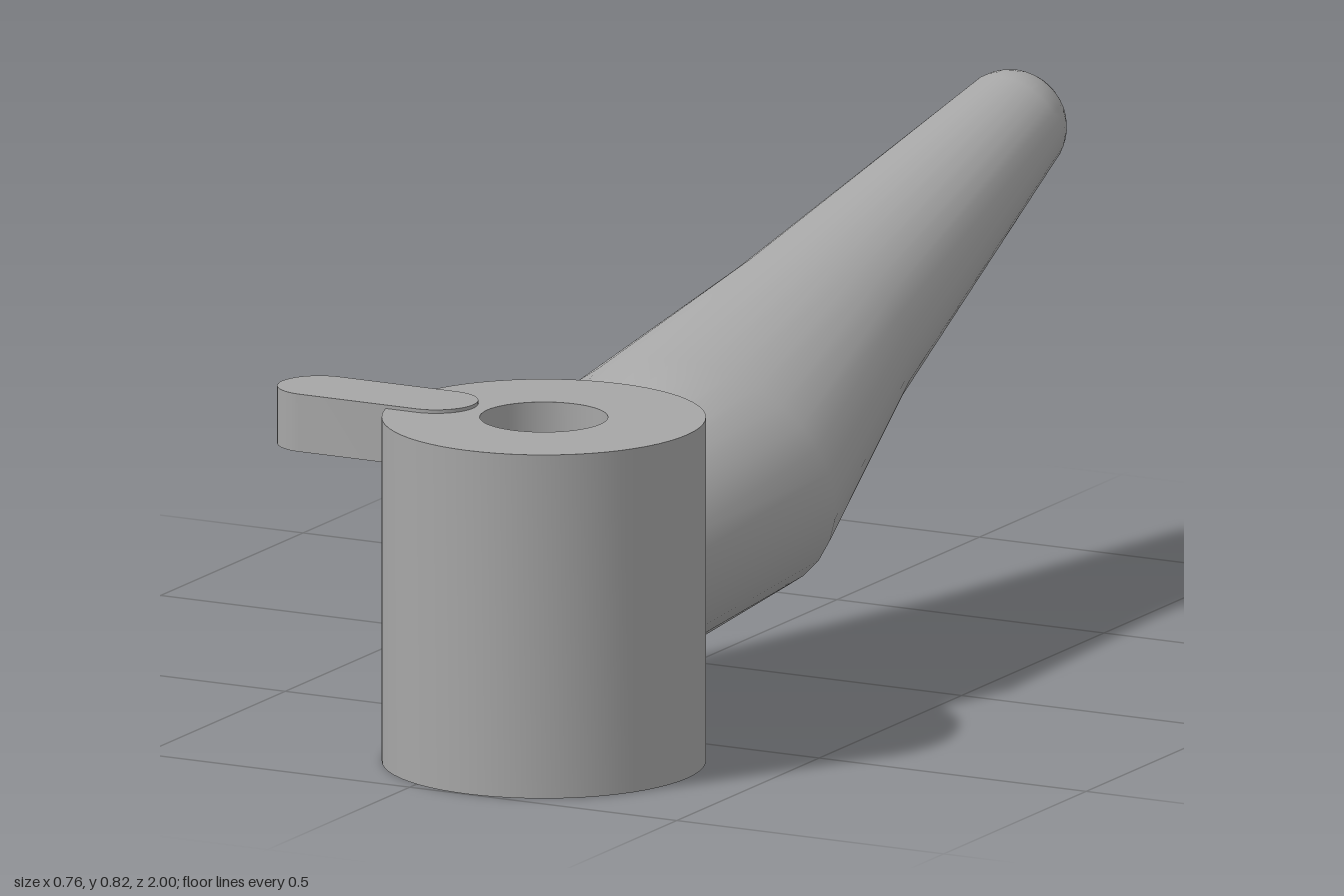
import * as THREE from 'three';
import { toCreasedNormals } from 'three/addons/utils/BufferGeometryUtils.js';

const HUB_X = 0.107, HUB_Z = 0.73;

// Extrude a plan outline (x, -z) upward from y0 by the given height
function extrudeUp(shape, y0, height) {
  const geo = new THREE.ExtrudeGeometry(shape, { depth: height, bevelEnabled: false, curveSegments: 32 });
  geo.rotateX(-Math.PI / 2);
  geo.translate(0, y0, 0);
  return toCreasedNormals(geo, 0.6);
}

// Skin elliptical rings { y, z, rx, ry, tilt } and close both ends
function loftHandle(rings, sides) {
  const pos = [], index = [];
  for (const { y, z, rx, ry, tilt } of rings) {
    for (let i = 0; i < sides; i++) {
      const a = (i / sides) * Math.PI * 2;
      const up = Math.sin(a) * ry;
      pos.push(HUB_X + Math.cos(a) * rx, y + up * Math.cos(tilt), z + up * Math.sin(tilt));
    }
  }
  for (let r = 0; r < rings.length - 1; r++) {
    for (let i = 0; i < sides; i++) {
      const j = (i + 1) % sides;
      const a = r * sides + i, b = r * sides + j, c = a + sides, d = b + sides;
      index.push(a, c, b, b, c, d);
    }
  }
  // Inner end cap, hidden inside the hub
  const centre = pos.length / 3;
  pos.push(HUB_X, rings[0].y, rings[0].z);
  for (let i = 0; i < sides; i++) index.push(centre, i, (i + 1) % sides);

  const geo = new THREE.BufferGeometry();
  geo.setAttribute('position', new THREE.Float32BufferAttribute(pos, 3));
  // Wind the skin outward: ring runs counter-clockwise seen from +z, loft runs toward -z
  geo.setIndex(index);
  geo.computeVertexNormals();
  return geo;
}

export function createModel() {
  const model = new THREE.Group();
  model.name = 'clampLever';
  const metal = new THREE.MeshStandardMaterial({ color: 0xa6a6a6 });
  metal.name = 'grey metal';

  const add = (name, geo) => {
    const mesh = new THREE.Mesh(geo, metal);
    mesh.name = name;
    model.add(mesh);
  };

  // Hub with a through bore
  const hub = new THREE.Shape().absarc(HUB_X, -HUB_Z, 0.268, 0, Math.PI * 2, false);
  hub.holes.push(new THREE.Path().absarc(HUB_X, -HUB_Z, 0.106, 0, Math.PI * 2, true));
  add('hub', extrudeUp(hub, 0, 0.584));

  // Round-ended pointer tab, slightly proud of the hub top
  const tab = new THREE.Shape();
  tab.absarc(-0.095, -HUB_Z, 0.07, -Math.PI / 2, Math.PI / 2, false);
  tab.absarc(-0.313, -HUB_Z, 0.07, Math.PI / 2, Math.PI * 1.5, false);
  tab.closePath();
  add('pointerTab', extrudeUp(tab, 0.492, 0.098));

  // Tapered handle: root, widest swell, waist, then a hemispherical tip
  const tilt = 0.3, tipR = 0.095;
  const rings = [
    { y: 0.298, z: 0.56, rx: 0.2, ry: 0.2, tilt },
    { y: 0.37, z: 0.215, rx: 0.27, ry: 0.222, tilt: 0.25 },
    { y: 0.518, z: -0.225, rx: 0.18, ry: 0.163, tilt },
  ];
  for (let i = 0; i <= 8; i++) {
    const a = (i / 8) * Math.PI / 2;
    const along = Math.sin(a) * tipR, r = Math.max(Math.cos(a) * tipR, 0.0005);
    rings.push({
      y: 0.73 + along * Math.sin(tilt), z: -0.905 - along * Math.cos(tilt), rx: r, ry: r, tilt,
    });
  }
  add('handle', loftHandle(rings, 32));

  return model;
}
